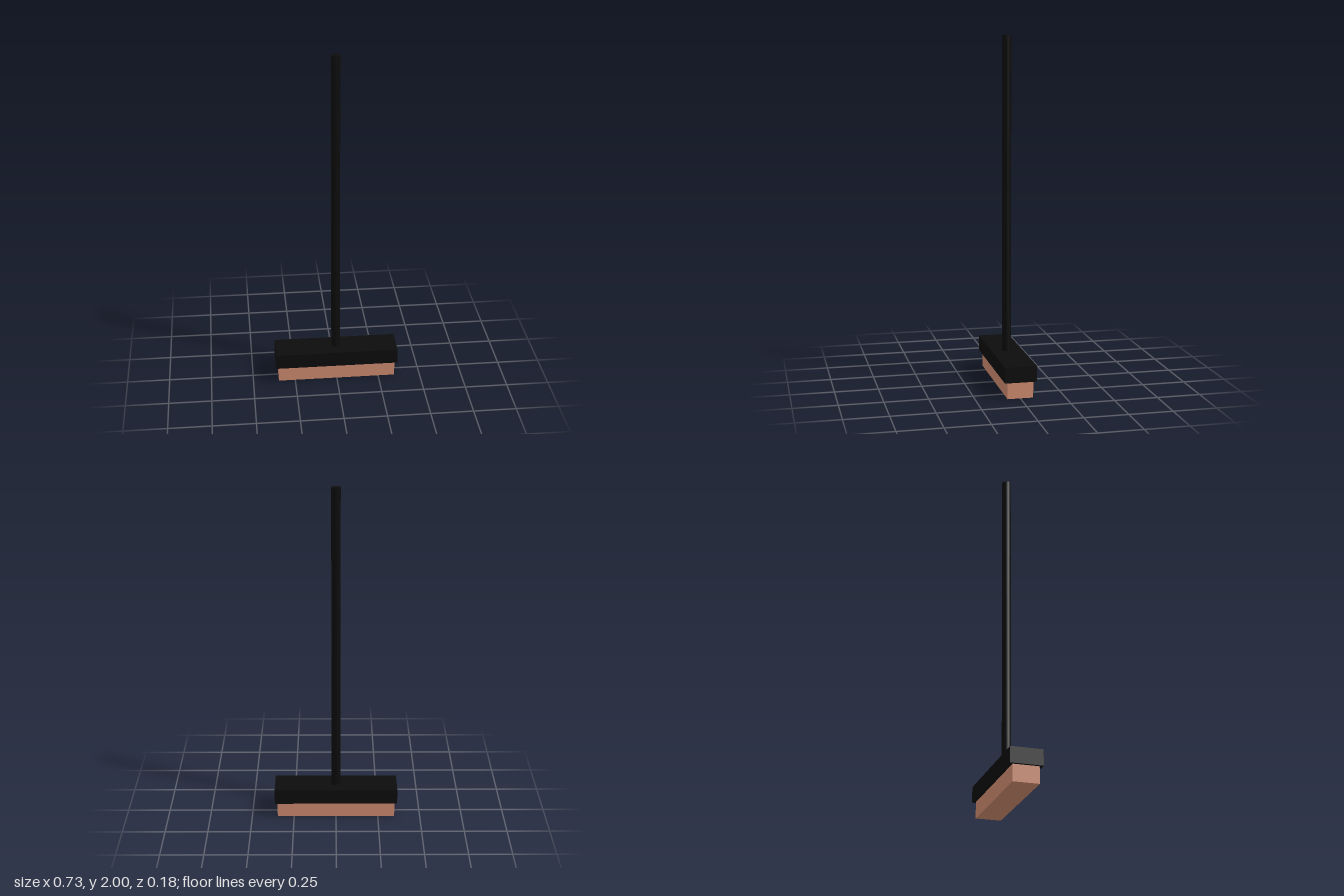
import * as THREE from 'three';

const black = new THREE.MeshStandardMaterial({ color: 0x0c0c0c });
const tan = new THREE.MeshStandardMaterial({ color: 0xd08c70 });

export function createModel() {
  const broom = new THREE.Group();
  broom.name = 'broom';

  const add = (name, geometry, material, bottom, height) => {
    const mesh = new THREE.Mesh(geometry, material);
    mesh.name = name;
    mesh.position.y = bottom + height / 2;
    broom.add(mesh);
  };

  // Bristle block under the head
  add('bristles', new THREE.BoxGeometry(0.696, 0.095, 0.147), tan, 0, 0.095);

  // Wide head that overhangs the bristles
  add('head', new THREE.BoxGeometry(0.726, 0.09, 0.182), black, 0.095, 0.09);

  // Long round handle, set slightly into the head
  add('handle', new THREE.CylinderGeometry(0.026, 0.026, 1.82, 32), black, 0.18, 1.82);

  return broom;
}
